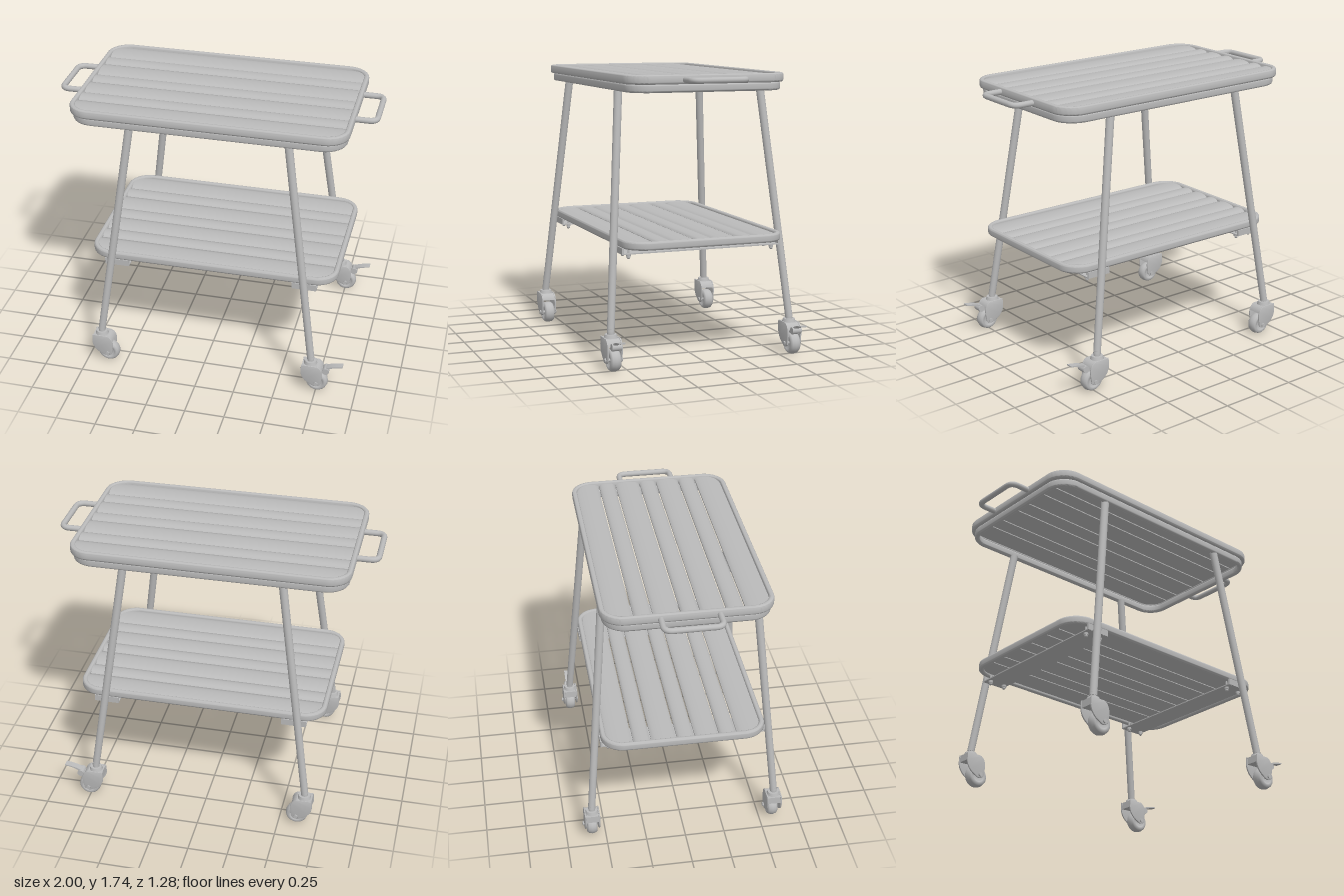
import * as THREE from 'three';
import { toCreasedNormals } from 'three/addons/utils/BufferGeometryUtils.js';

const steel = new THREE.MeshStandardMaterial({ color: 0xbababa });
steel.name = 'grey steel';

function add(parent, name, geometry, x = 0, y = 0, z = 0) {
  const mesh = new THREE.Mesh(geometry, steel);
  mesh.name = name;
  mesh.position.set(x, y, z);
  parent.add(mesh);
  return mesh;
}

// Rounded rectangle outline, half sizes w and d
function outline(target, w, d, r) {
  target.moveTo(-w + r, -d);
  target.lineTo(w - r, -d);
  target.absarc(w - r, -d + r, r, -Math.PI / 2, 0);
  target.absarc(w - r, d - r, r, 0, Math.PI / 2);
  target.absarc(-w + r, d - r, r, Math.PI / 2, Math.PI);
  target.absarc(-w + r, -d + r, r, Math.PI, Math.PI * 1.5);
  return target;
}

// Rounded rim of height h with its base on y = 0
function rimGeometry(w, d, h) {
  const r = 0.14, wall = 0.032, b = 0.013;
  const shape = outline(new THREE.Shape(), w, d, r);
  shape.holes.push(outline(new THREE.Path(), w - wall, d - wall, r - wall));
  const geo = new THREE.ExtrudeGeometry(shape, {
    depth: h - 2 * b, bevelThickness: b, bevelSize: b, bevelOffset: -b,
    bevelSegments: 4, curveSegments: 12,
  });
  geo.rotateX(-Math.PI / 2).translate(0, b, 0);
  return toCreasedNormals(geo, 0.8);
}

// Crowned slat between z0 and z1, trimmed to the rounded corners of the tray
function slatGeometry(z0, z1, w, d, r) {
  const geo = new THREE.BoxGeometry(1, 1, 1, 1, 1, 16);
  const p = geo.attributes.position;
  for (let i = 0; i < p.count; i++) {
    const t = p.getZ(i) + 0.5;
    const z = z0 + (z1 - z0) * t;
    const over = Math.max(0, Math.abs(z) - (d - r));
    const half = w - r + Math.sqrt(Math.max(0, r * r - over * over));
    const crown = 0.008 + 0.02 * Math.sqrt(1 - Math.pow(2 * t - 1, 2) * 0.97);
    p.setXYZ(i, Math.sign(p.getX(i)) * half, p.getY(i) > 0 ? crown : 0, z);
  }
  geo.computeVertexNormals();
  return geo;
}

function tray(name, w, d, h) {
  const g = new THREE.Group();
  g.name = name;
  add(g, 'rim', rimGeometry(w, d, h));
  const edges = [-d + 0.018, -0.322, -0.212, -0.053, 0.058, 0.208, 0.318, d - 0.018];
  for (let i = 0; i < edges.length - 1; i++) {
    add(g, 'slat', slatGeometry(edges[i] + 0.004, edges[i + 1] - 0.004, w - 0.018, d - 0.018, 0.122), 0, 0.018, 0);
  }
  return g;
}

// Bent tube handle on the +x or -x end
function handle(side) {
  const path = new THREE.CurvePath();
  const v = (x, z) => new THREE.Vector3(side * x, 0, z);
  const c = 0.05, e = 0.98, s = 0.17;
  path.add(new THREE.LineCurve3(v(0.835, -s), v(e - c, -s)));
  path.add(new THREE.QuadraticBezierCurve3(v(e - c, -s), v(e, -s), v(e, -s + c)));
  path.add(new THREE.LineCurve3(v(e, -s + c), v(e, s - c)));
  path.add(new THREE.QuadraticBezierCurve3(v(e, s - c), v(e, s), v(e - c, s)));
  path.add(new THREE.LineCurve3(v(e - c, s), v(0.835, s)));
  return new THREE.TubeGeometry(path, 80, 0.018, 12);
}

function rod(from, to, rTop, rBottom, sides = 20) {
  const dir = to.clone().sub(from);
  const geo = new THREE.CylinderGeometry(rTop, rBottom, dir.length(), sides);
  geo.applyQuaternion(new THREE.Quaternion().setFromUnitVectors(new THREE.Vector3(0, 1, 0), dir.normalize()));
  const mid = from.clone().add(to).multiplyScalar(0.5);
  return geo.translate(mid.x, mid.y, mid.z);
}

// Swivel caster under a leg; the wheel trails toward +x
function caster(withBrake) {
  const g = new THREE.Group();
  g.name = withBrake ? 'brakedCaster' : 'caster';
  add(g, 'stem', new THREE.CylinderGeometry(0.02, 0.022, 0.05, 16), 0, 0.225, 0);
  add(g, 'swivelCap', new THREE.CylinderGeometry(0.036, 0.042, 0.02, 24), 0, 0.205, 0);
  // Fork: two cheeks and a hood across the top
  const cheek = new THREE.Shape();
  cheek.moveTo(-0.05, 0.195);
  cheek.lineTo(0.045, 0.195);
  cheek.quadraticCurveTo(0.08, 0.18, 0.08, 0.13);
  cheek.lineTo(0.07, 0.065);
  cheek.quadraticCurveTo(0.045, 0.04, 0.015, 0.06);
  cheek.quadraticCurveTo(-0.05, 0.09, -0.053, 0.15);
  const cheekGeo = toCreasedNormals(new THREE.ExtrudeGeometry(cheek, {
    depth: 0.004, bevelThickness: 0.003, bevelSize: 0.003, bevelSegments: 2, curveSegments: 8,
  }), 0.6);
  for (const s of [-1, 1]) {
    add(g, 'forkCheek', cheekGeo, 0, 0, s * 0.043 - 0.002);
    add(g, 'axleNut', new THREE.CylinderGeometry(0.014, 0.014, 0.01, 6).rotateX(Math.PI / 2), 0.045, 0.07, s * 0.052);
  }
  const hood = new THREE.Shape();
  hood.moveTo(-0.052, 0.15);
  hood.lineTo(-0.05, 0.195);
  hood.lineTo(0.045, 0.195);
  hood.quadraticCurveTo(0.07, 0.185, 0.078, 0.155);
  const hoodGeo = new THREE.ExtrudeGeometry(hood, { depth: 0.084, bevelEnabled: false }).translate(0, 0, -0.042);
  add(g, 'forkHood', hoodGeo);
  // Rounded tyre with a recessed hub
  const profile = [[0, -0.02], [0.035, -0.02], [0.04, -0.032], [0.056, -0.032], [0.065, -0.022], [0.07, 0],
    [0.065, 0.022], [0.056, 0.032], [0.04, 0.032], [0.035, 0.02], [0, 0.02]];
  const wheel = new THREE.LatheGeometry(profile.map(([x, y]) => new THREE.Vector2(x, y)), 32);
  add(g, 'wheel', wheel.rotateX(Math.PI / 2), 0.045, 0.07, 0);
  add(g, 'axle', new THREE.CylinderGeometry(0.01, 0.01, 0.1, 12).rotateX(Math.PI / 2), 0.045, 0.07, 0);
  if (withBrake) {
    add(g, 'brakePivot', new THREE.CylinderGeometry(0.022, 0.022, 0.06, 16).rotateX(Math.PI / 2), 0.1, 0.158, 0);
    add(g, 'brakeArm', new THREE.BoxGeometry(0.06, 0.025, 0.045), 0.08, 0.15, 0);
    const pedal = new THREE.Shape();
    pedal.moveTo(0.1, 0.165);
    pedal.quadraticCurveTo(0.14, 0.192, 0.205, 0.2);
    pedal.lineTo(0.205, 0.207);
    pedal.quadraticCurveTo(0.14, 0.2, 0.1, 0.18);
    const pedalGeo = new THREE.ExtrudeGeometry(pedal, { depth: 0.042, bevelEnabled: false });
    add(g, 'brakePedal', toCreasedNormals(pedalGeo, 0.6), 0, 0, -0.021);
  }
  return g;
}

export function createModel() {
  const model = new THREE.Group();
  model.name = 'servingTrolley';

  // Removable top tray resting on the frame ring
  const topTray = tray('topTray', 0.855, 0.507, 0.055);
  topTray.position.y = 1.687;
  model.add(topTray);
  add(model, 'frameRing', rimGeometry(0.84, 0.492, 0.052), 0, 1.638, 0);
  for (const side of [-1, 1]) add(model, 'handle', handle(side), 0, 1.713, 0);

  // Lower shelf
  const shelf = tray('lowerShelf', 0.788, 0.51, 0.052);
  shelf.position.set(0.042, 0.72, 0);
  model.add(shelf);

  // Cross braces with end tabs and bolts
  for (const x of [-0.56, 0.637]) {
    add(model, 'crossBrace', new THREE.BoxGeometry(0.155, 0.007, 1.02), x, 0.688, 0);
    for (const s of [-1, 1]) {
      add(model, 'braceTab', new THREE.BoxGeometry(0.155, 0.04, 0.012), x, 0.705, s * 0.508);
      for (const dx of [-0.053, 0.053]) {
        add(model, 'bolt', new THREE.CylinderGeometry(0.015, 0.015, 0.016, 6), x + dx, 0.678, s * 0.465);
        add(model, 'boltTip', new THREE.SphereGeometry(0.011, 12, 8), x + dx, 0.665, s * 0.465);
        add(model, 'boltShank', new THREE.CylinderGeometry(0.007, 0.007, 0.04, 8), x + dx, 0.705, s * 0.465);
      }
    }
  }

  // Splayed legs on casters; brakes on the left pair
  for (const [topX, bottomX, brake] of [[-0.462, -0.658, false], [0.508, 0.71, true]]) {
    for (const s of [-1, 1]) {
      const bottom = new THREE.Vector3(bottomX, 0.225, s * 0.585);
      const top = new THREE.Vector3(topX, 1.65, s * 0.462);
      add(model, 'leg', rod(bottom, top, 0.025, 0.023));
      const c = caster(brake);
      c.position.set(bottomX, 0, s * 0.585);
      model.add(c);
    }
  }
  return model;
}
